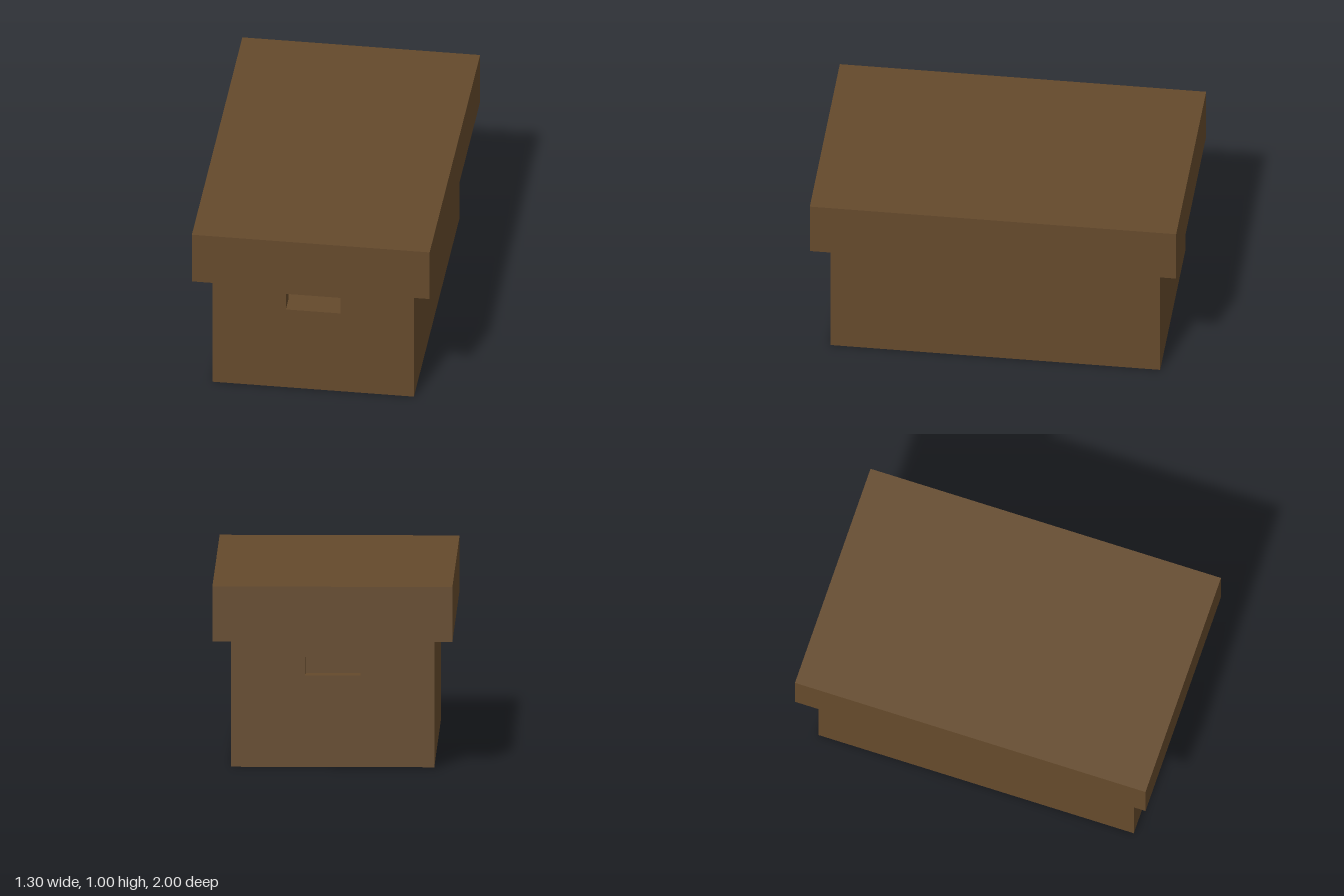
import * as THREE from 'three';

const WALL = 0.1;
const cardboard = new THREE.MeshStandardMaterial({ color: 0x654a2c });
cardboard.name = 'brown cardboard';

function addMesh(parent, name, geometry, x, y, z) {
  const mesh = new THREE.Mesh(geometry, cardboard);
  mesh.name = name;
  mesh.position.set(x, y, z);
  parent.add(mesh);
  return mesh;
}

// Rectangle outline given by its corners
function rectangle(target, x0, y0, x1, y1) {
  return target.moveTo(x0, y0).lineTo(x1, y0).lineTo(x1, y1).lineTo(x0, y1).closePath();
}

// Rectangular panel with a rectangular opening
function framedPanel(outer, opening, depth) {
  const shape = rectangle(new THREE.Shape(), ...outer);
  shape.holes.push(rectangle(new THREE.Path(), ...opening));
  return new THREE.ExtrudeGeometry(shape, { depth, bevelEnabled: false });
}

export function createModel() {
  const model = new THREE.Group();
  model.name = 'storageBox';

  // Hollow body, its rim reaching up inside the lid
  const body = new THREE.Group();
  body.name = 'body';
  model.add(body);
  const endPanel = framedPanel([-0.55, 0, 0.55, 0.9], [-0.15, 0.5, 0.15, 0.6], WALL);
  const sidePanel = new THREE.BoxGeometry(WALL, 0.9, 1.6);
  addMesh(body, 'frontPanelWithHandle', endPanel, 0, 0, 0.8);
  addMesh(body, 'backPanelWithHandle', endPanel, 0, 0, -0.9);
  addMesh(body, 'leftPanel', sidePanel, 0.5, 0.45, 0);
  addMesh(body, 'rightPanel', sidePanel, -0.5, 0.45, 0);
  addMesh(body, 'floor', new THREE.BoxGeometry(0.9, WALL, 1.6), 0, WALL / 2, 0);

  // Lid: flat top with a skirt that fits around the body
  const lid = new THREE.Group();
  lid.name = 'lid';
  model.add(lid);
  addMesh(lid, 'lidTop', new THREE.BoxGeometry(1.3, WALL, 2), 0, 0.95, 0);
  const skirt = framedPanel([-0.65, -1, 0.65, 1], [-0.55, -0.9, 0.55, 0.9], 0.2);
  skirt.rotateX(-Math.PI / 2);
  addMesh(lid, 'lidSkirt', skirt, 0, 0.7, 0);

  return model;
}
